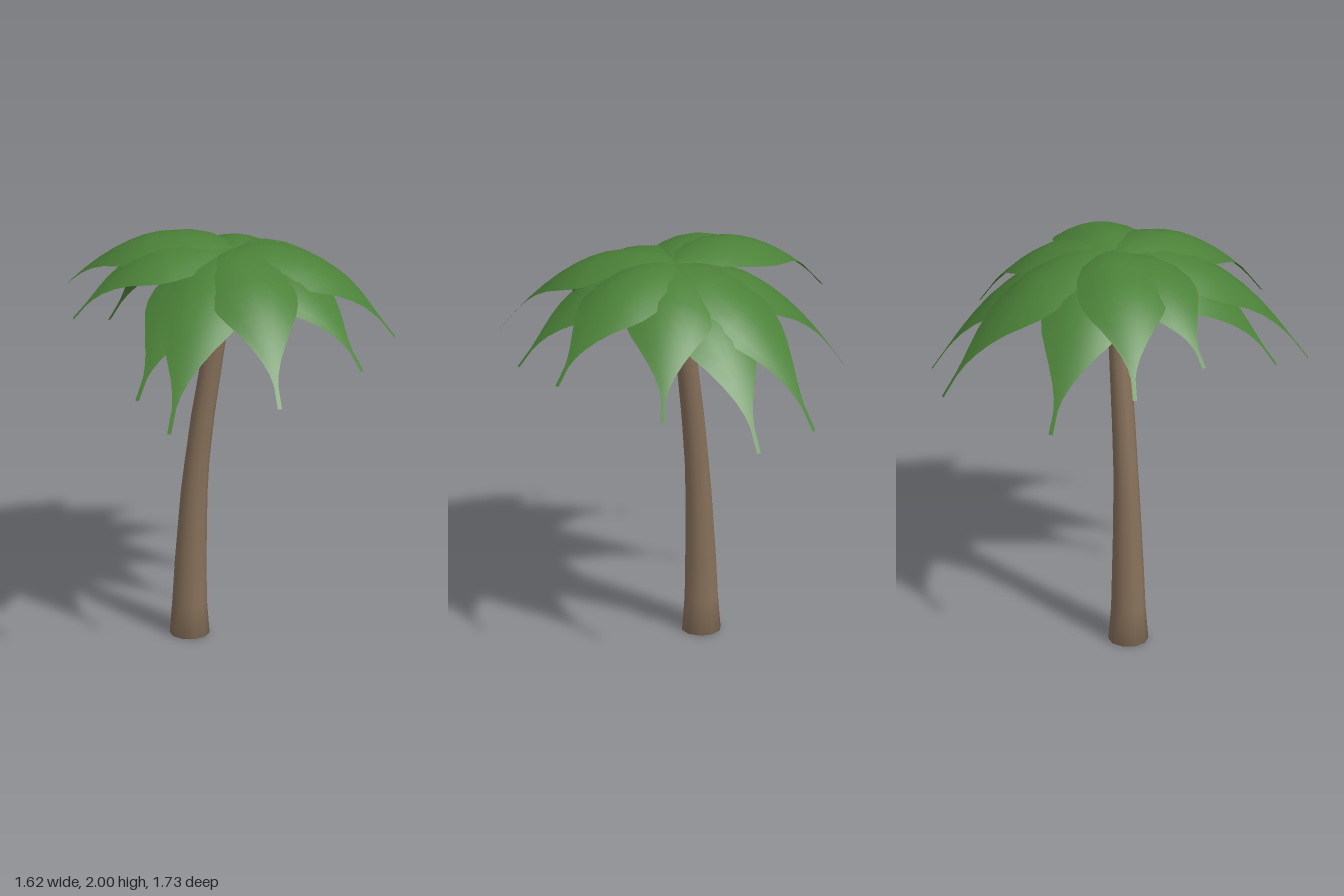
import * as THREE from 'three';

const bark = new THREE.MeshStandardMaterial({ color: 0x86705a });
bark.name = 'bark brown';
const leaf = new THREE.MeshStandardMaterial({ color: 0x4c8239, side: THREE.DoubleSide });
leaf.name = 'leaf green';
const husk = new THREE.MeshStandardMaterial({ color: 0x7d5f4a });
husk.name = 'husk brown';

// Smooth surface through a grid of points, rows x columns
function gridGeometry(rows) {
  const cols = rows[0].length;
  const index = [];
  for (let i = 0; i < rows.length - 1; i++) {
    for (let j = 0; j < cols - 1; j++) {
      const a = i * cols + j, b = a + cols;
      index.push(a, a + 1, b, a + 1, b + 1, b);
    }
  }
  const geometry = new THREE.BufferGeometry();
  geometry.setAttribute('position', new THREE.Float32BufferAttribute(rows.flat(2), 3));
  geometry.setIndex(index);
  geometry.computeVertexNormals();
  return geometry;
}

// Leaning, tapering trunk with closed ends and soft shading round the rim
function makeTrunk() {
  const rings = [ // y, centre x, radius
    [0, -0.16, 0.094], [0.17, -0.16, 0.081], [0.36, -0.155, 0.075], [0.55, -0.147, 0.068],
    [0.72, -0.138, 0.063], [0.87, -0.125, 0.058], [1.1, -0.098, 0.055], [1.33, -0.063, 0.052],
    [1.5, -0.037, 0.05], [1.7, 0, 0.047], [1.91, 0.035, 0.04],
  ];
  const sides = 10, points = [], index = [];
  for (const [y, x, r] of rings) {
    for (let j = 0; j < sides; j++) {
      const a = (j / sides) * Math.PI * 2;
      points.push(x + r * Math.cos(a), y, -0.02 + r * Math.sin(a));
    }
  }
  const bottom = rings.length * sides, top = bottom + 1;
  points.push(-0.16, 0, -0.02, 0.035, 1.91, -0.02);
  for (let j = 0; j < sides; j++) {
    const k = (j + 1) % sides, last = (rings.length - 1) * sides;
    for (let i = 0; i < last; i += sides) {
      index.push(i + j, i + sides + j, i + k, i + k, i + sides + j, i + sides + k);
    }
    index.push(bottom, j, k, top, last + k, last + j);
  }
  const geometry = new THREE.BufferGeometry();
  geometry.setAttribute('position', new THREE.Float32BufferAttribute(points, 3));
  geometry.setIndex(index);
  geometry.computeVertexNormals();
  const mesh = new THREE.Mesh(geometry, bark);
  mesh.name = 'trunk';
  return mesh;
}

// Half width of a frond along its length: broad blade, then a thin stalk tip
const blade = [
  [0, 0.004], [0.07, 0.08], [0.17, 0.165], [0.28, 0.202], [0.43, 0.212], [0.52, 0.2],
  [0.6, 0.172], [0.68, 0.13], [0.76, 0.085], [0.83, 0.045], [0.88, 0.022], [0.92, 0.011], [1, 0.01],
];

// Arched frond from the crown to a tip, its edges drooping on both sides
function makeFrond(base, tip) {
  const run = tip.clone().sub(base);
  const flat = Math.hypot(run.x, run.z);
  const side = new THREE.Vector3(-run.z / flat, 0, run.x / flat);
  const arch = 0.19 * run.length();
  const rows = blade.map(([t, w]) => {
    const spine = base.clone().addScaledVector(run, t);
    spine.y += arch * 4 * t * (1 - t);
    return [-1, -0.67, -0.33, 0, 0.33, 0.67, 1].map((v) => {
      const p = spine.clone().addScaledVector(side, v * w);
      p.y -= 1.7 * (v * w) ** 2;
      return p.toArray();
    });
  });
  const mesh = new THREE.Mesh(gridGeometry(rows), leaf);
  mesh.name = 'frond';
  return mesh;
}

export function createModel() {
  const model = new THREE.Group();
  model.name = 'palmTree';
  model.add(makeTrunk());

  // Frond tips x, y, z and height of the base, upper and lower layers
  const crown = new THREE.Group();
  crown.name = 'crown';
  const fronds = [
    [0.06, 1.32, -0.87, 1.94], [0.39, 1.3, -0.8, 1.91], [0.68, 1.46, -0.45, 1.93],
    [0.81, 1.55, 0.08, 1.94], [0.67, 1.51, 0.42, 1.91], [0.3, 1.47, 0.82, 1.94],
    [-0.22, 1.35, 0.86, 1.93], [-0.38, 1.43, 0.64, 1.91], [-0.7, 1.65, 0.16, 1.93],
    [-0.81, 1.6, -0.23, 1.95], [-0.56, 1.36, -0.56, 1.91],
  ];
  for (const [x, y, z, h] of fronds) {
    crown.add(makeFrond(new THREE.Vector3(0.04, h, -0.02), new THREE.Vector3(x, y, z)));
  }
  model.add(crown);

  // Nuts tucked under the crown
  const nutGeometry = new THREE.SphereGeometry(0.036, 16, 12);
  for (const [x, y, z] of [[0.05, 1.84, -0.085], [0, 1.87, -0.08], [-0.04, 1.86, -0.02]]) {
    const nut = new THREE.Mesh(nutGeometry, husk);
    nut.name = 'coconut';
    nut.position.set(x, y, z);
    model.add(nut);
  }
  return model;
}
